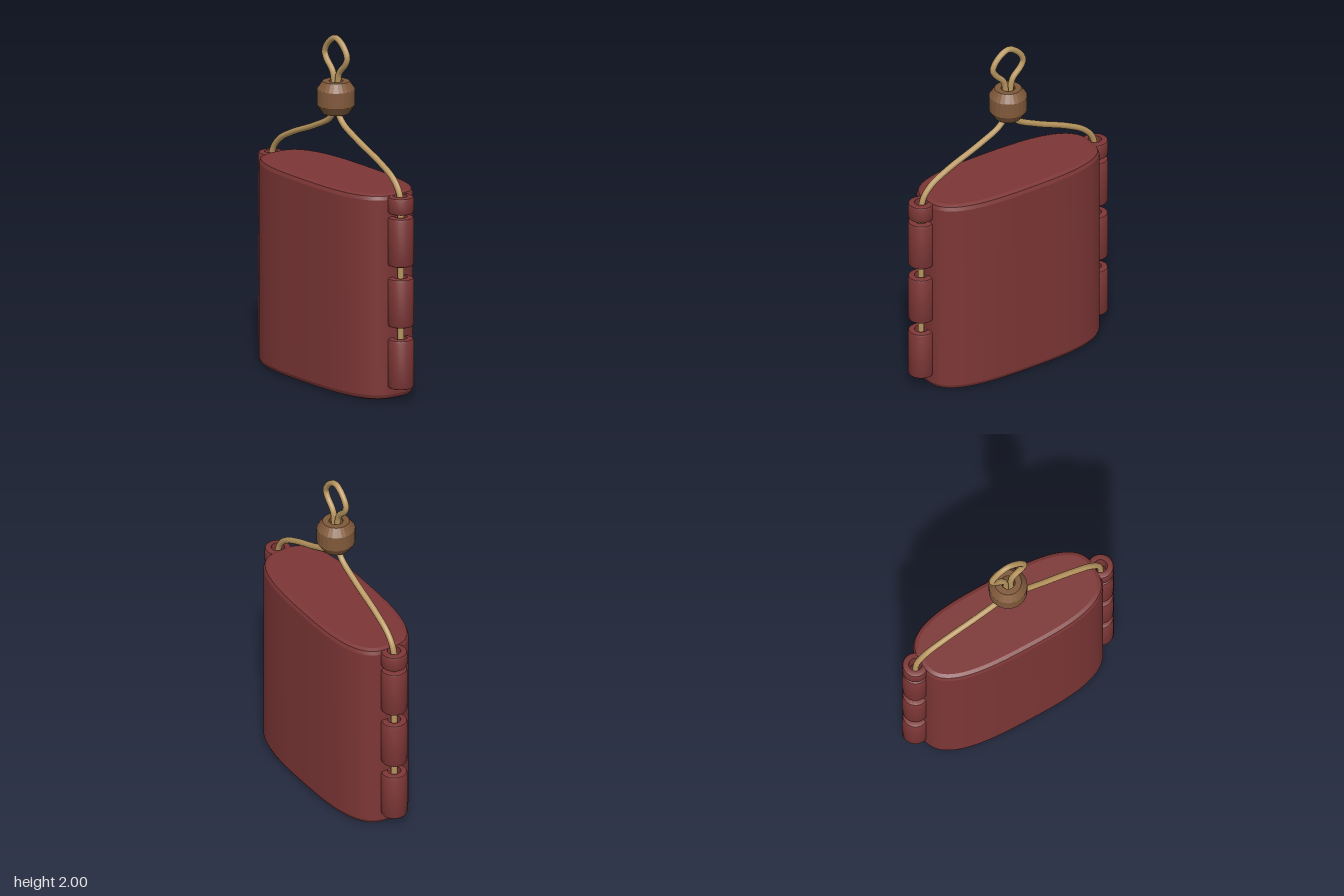
import * as THREE from 'three';
import { toCreasedNormals } from 'three/addons/utils/BufferGeometryUtils.js';

const lacquer = new THREE.MeshStandardMaterial({ name: 'red lacquer', color: 0x7d3636 });
const cordMat = new THREE.MeshStandardMaterial({ name: 'tan cord', color: 0xb8965f });
const beadMat = new THREE.MeshStandardMaterial({ name: 'brown wood', color: 0x80593a });

function addMesh(parent, name, geometry, material) {
  const mesh = new THREE.Mesh(geometry, material);
  mesh.name = name;
  parent.add(mesh);
  return mesh;
}

// Rounded-oval outline (superellipse)
function ovalShape(a, b, power, count) {
  const points = [];
  for (let i = 0; i < count; i++) {
    const t = (i / count) * Math.PI * 2;
    const c = Math.cos(t), s = Math.sin(t);
    points.push(new THREE.Vector2(
      a * Math.sign(c) * Math.abs(c) ** (2 / power),
      b * Math.sign(s) * Math.abs(s) ** (2 / power)));
  }
  return new THREE.Shape(points);
}

// Hollow cord runner with softened rims, profile closed on itself
function runnerGeometry(bottom, top) {
  const outer = 0.075, inner = 0.038, b = 0.014;
  const profile = [
    [inner, bottom], [outer - b, bottom], [outer - b * 0.3, bottom + b * 0.3], [outer, bottom + b],
    [outer, top - b], [outer - b * 0.3, top - b * 0.3], [outer - b, top], [inner, top], [inner, bottom],
  ].map(([x, y]) => new THREE.Vector2(x, y));
  return toCreasedNormals(new THREE.LatheGeometry(profile, 32), 0.6);
}

export function createModel() {
  const model = new THREE.Group();
  model.name = 'corded case';

  // Case body
  const height = 1.2, bevel = 0.03;
  const body = new THREE.ExtrudeGeometry(ovalShape(0.575, 0.237, 2.9, 96), {
    depth: height - bevel * 2, steps: 1, bevelEnabled: true,
    bevelSize: bevel, bevelThickness: bevel, bevelOffset: -bevel, bevelSegments: 2,
  });
  body.rotateX(-Math.PI / 2).translate(0, bevel, 0);
  addMesh(model, 'caseBody', toCreasedNormals(body, 0.35), lacquer);

  // Cord runners on both sides
  const spans = [[0.07, 0.36], [0.43, 0.715], [0.785, 1.07], [1.09, 1.19]];
  for (const side of [-1, 1]) {
    spans.forEach(([bottom, top], i) => {
      const runner = addMesh(model, `${side > 0 ? 'left' : 'right'}CordRunner${i + 1}`,
        runnerGeometry(bottom, top), lacquer);
      runner.position.x = side * 0.6;
    });
  }

  // Cord: up one side, through the bead, round the loop and back down
  const half = [
    [0.6, 0.08], [0.6, 0.4], [0.6, 0.75], [0.6, 1.08], [0.588, 1.2], [0.53, 1.275], [0.41, 1.342],
    [0.2, 1.428], [0.06, 1.5], [0.018, 1.56], [0.018, 1.64], [0.018, 1.73], [0.032, 1.785],
    [0.088, 1.845], [0.104, 1.885], [0.068, 1.945],
  ];
  const path = [...half, [0, 1.982], ...half.slice().reverse().map(([x, y]) => [-x, y])]
    .map(([x, y]) => new THREE.Vector3(x, y, 0));
  const curve = new THREE.CatmullRomCurve3(path, false, 'centripetal');
  addMesh(model, 'cord', new THREE.TubeGeometry(curve, 260, 0.018, 10), cordMat);

  // Cord ends
  for (const side of [-1, 1]) {
    const end = addMesh(model, side > 0 ? 'leftCordEnd' : 'rightCordEnd',
      new THREE.CircleGeometry(0.018, 10), cordMat);
    end.rotation.x = Math.PI / 2;
    end.position.set(side * 0.6, 0.08, 0);
  }

  // Sliding bead with a bored hole
  const beadProfile = [
    [0.04, 1.545], [0.076, 1.545], [0.109, 1.595], [0.109, 1.685], [0.076, 1.732], [0.04, 1.732], [0.04, 1.545],
  ].map(([x, y]) => new THREE.Vector2(x, y));
  addMesh(model, 'bead', toCreasedNormals(new THREE.LatheGeometry(beadProfile, 24), 0.1), beadMat);

  return model;
}
